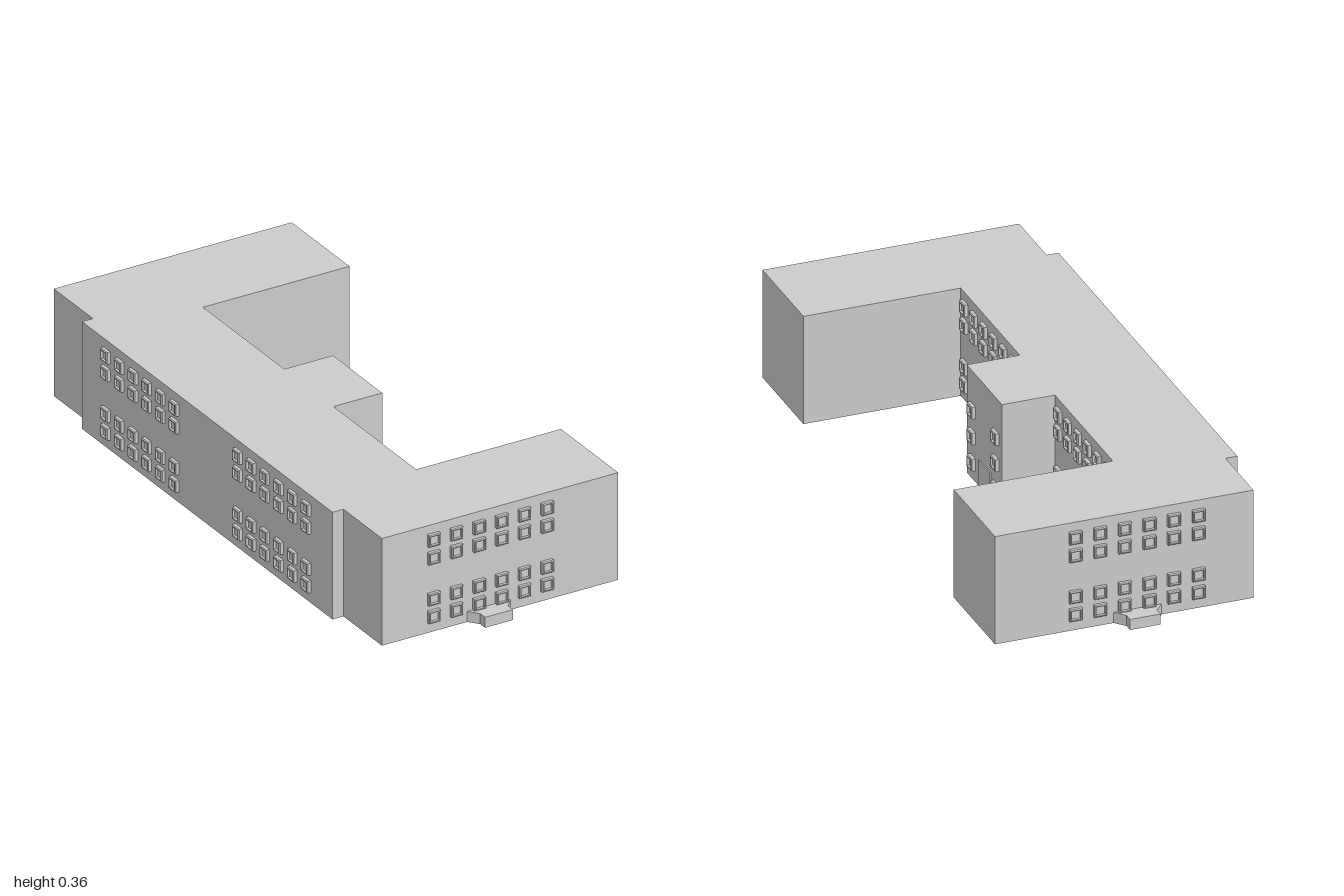
import * as THREE from 'three';

const material = new THREE.MeshStandardMaterial({ color: 0xcccccc, flatShading: true });

// Upright prism over a ground outline of [x, z] corners.
function prism(name, outline, height) {
  const shape = new THREE.Shape(outline.map(([x, z]) => new THREE.Vector2(x, -z)));
  const geometry = new THREE.ExtrudeGeometry(shape, { depth: height, bevelEnabled: false });
  geometry.rotateX(-Math.PI / 2);
  const mesh = new THREE.Mesh(geometry, material);
  mesh.name = name;
  return mesh;
}

// Square window: raised chamfered frame around a recessed pane, facing +z.
function windowGeometry() {
  const profile = [[0.02, 0], [0.02, 0.01], [0.0175, 0.013], [0.0145, 0.013], [0.0135, 0.006], [0, 0.006]];
  const points = profile.map(([half, h]) => new THREE.Vector2(half * Math.SQRT2, h));
  const geometry = new THREE.LatheGeometry(points, 4, Math.PI / 4);
  geometry.rotateX(Math.PI / 2);
  return geometry;
}

export function createModel() {
  const model = new THREE.Group();
  model.name = 'building';

  // Main block: long spine, two end wings and a central stair block
  model.add(prism('mainBlock', [
    [-0.388, 0.94], [0.431, 0.94], [0.431, 0.612], [-0.071, 0.612],
    [-0.071, 0.139], [0.098, 0.139], [0.098, -0.143], [-0.071, -0.143],
    [-0.071, -0.608], [0.437, -0.608], [0.437, -0.939], [-0.388, -0.939],
    [-0.388, -0.715], [-0.426, -0.715], [-0.426, 0.72], [-0.388, 0.72],
  ], 0.358));

  // Splayed entrance steps at both ends
  for (const [name, s] of [['frontSteps', 1], ['backSteps', -1]]) {
    model.add(prism(name, [
      [-0.095, s * 0.938], [0.059, s * 0.938], [0.03, s * 0.972],
      [0.03, s], [-0.067, s], [-0.067, s * 0.972],
    ], 0.035));
  }

  // Courtyard door and its threshold slab
  const box = (name, w, h, d, x, y, z) => {
    const mesh = new THREE.Mesh(new THREE.BoxGeometry(w, h, d), material);
    mesh.name = name;
    mesh.position.set(x, y, z);
    model.add(mesh);
  };
  box('courtyardDoor', 0.006, 0.09, 0.092, 0.099, 0.045, -0.009);
  box('doorSlab', 0.037, 0.005, 0.092, 0.1165, 0.0025, -0.009);

  // Window grids; each wall places columns along its own direction
  const pane = windowGeometry();
  const floors = [0.054, 0.113, 0.25, 0.309];
  function windows(name, columns, rows, place, turn) {
    const group = new THREE.Group();
    group.name = name;
    for (const c of columns) {
      for (const y of rows) {
        const mesh = new THREE.Mesh(pane, material);
        mesh.name = 'window';
        const [x, z] = place(c);
        mesh.position.set(x, y, z);
        mesh.rotation.y = turn;
        group.add(mesh);
      }
    }
    model.add(group);
  }

  const six = (start) => Array.from({ length: 6 }, (_, i) => start + i * 0.0785);
  const endColumns = six(-0.211);
  const longColumns = [...six(-0.572), ...six(0.183)];
  windows('frontEndWindows', endColumns, floors, (c) => [c, 0.94], 0);
  windows('backEndWindows', endColumns, floors, (c) => [c, -0.939], Math.PI);
  windows('streetWindows', longColumns, floors, (c) => [-0.426, c], -Math.PI / 2);
  windows('courtyardWindows', longColumns, floors, (c) => [-0.071, c], Math.PI / 2);
  windows('stairBlockWindows', [-0.098, 0.09], [0.057, 0.144, 0.23], (c) => [0.098, c], Math.PI / 2);

  return model;
}
